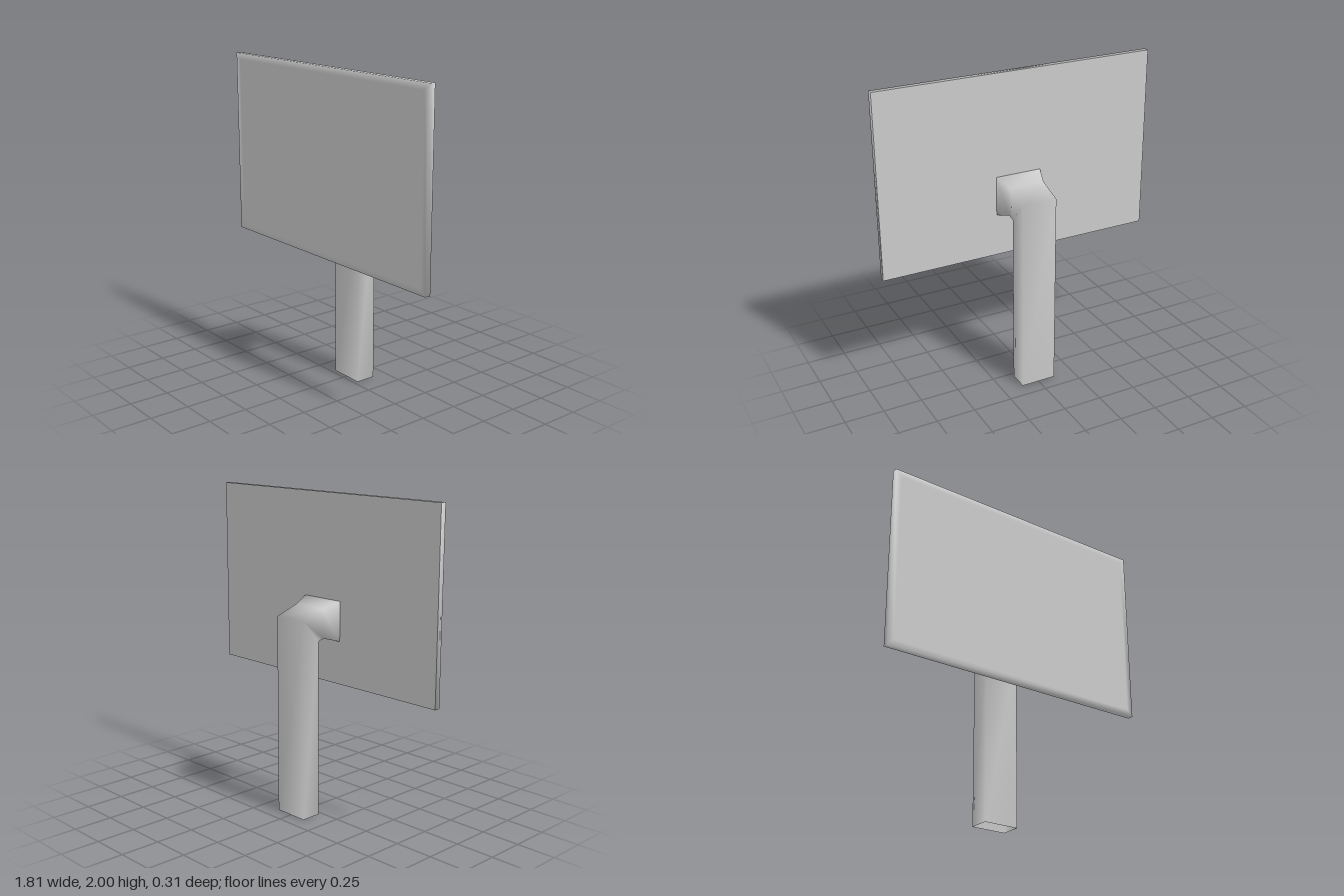
import * as THREE from 'three';

const material = new THREE.MeshStandardMaterial({ color: 0xcccccc, side: THREE.DoubleSide });

// Four-cornered section, symmetric in x: a lower edge and an upper edge
function ring(halfWidth, lowY, lowZ, highY, highZ) {
  return [
    [halfWidth, lowY, lowZ], [halfWidth, highY, highZ],
    [-halfWidth, highY, highZ], [-halfWidth, lowY, lowZ],
  ];
}

// Smooth skin through the sections, optionally closed at the last one
function loft(rings, capEnd) {
  const index = [];
  for (let i = 0; i < rings.length - 1; i++) {
    for (let j = 0; j < 4; j++) {
      const a = i * 4 + j, b = i * 4 + (j + 1) % 4;
      index.push(a, b, b + 4, a, b + 4, a + 4);
    }
  }
  const e = (rings.length - 1) * 4;
  if (capEnd) index.push(e, e + 1, e + 2, e, e + 2, e + 3);
  const geometry = new THREE.BufferGeometry();
  geometry.setAttribute('position', new THREE.Float32BufferAttribute(rings.flat(2), 3));
  geometry.setIndex(index);
  geometry.computeVertexNormals();
  return geometry;
}

function addMesh(parent, name, geometry) {
  const mesh = new THREE.Mesh(geometry, material);
  mesh.name = name;
  parent.add(mesh);
  return mesh;
}

export function createModel() {
  const model = new THREE.Group();
  model.name = 'screenOnStand';

  const halfW = 0.907, bottom = 0.83, top = 2, back = 0.118, front = 0.155, rim = 0.04;

  // Screen: thin panel with a softly shaded rim around the front
  const screen = new THREE.Group();
  screen.name = 'screen';
  model.add(screen);
  addMesh(screen, 'screenFront', loft([
    ring(halfW, bottom, back, top, back),
    ring(halfW, bottom, front, top, front),
    ring(halfW - rim, bottom + rim, front, top - rim, front),
  ], true));
  const panel = addMesh(screen, 'screenBack', new THREE.PlaneGeometry(halfW * 2, top - bottom));
  panel.rotation.y = Math.PI;
  panel.position.set(0, (top + bottom) / 2, back);

  // Stand: hollow post, open at the foot, bending forward and flaring to the screen
  addMesh(model, 'stand', loft([
    ring(0.114, 0, -0.027, 0, -0.155),
    ring(0.114, 1.12, -0.027, 1.26, -0.155),
    ring(0.114, 1.13, 0.015, 1.313, 0.005),
    ring(0.15, 1.1, back, 1.35, back),
  ], false));

  return model;
}
